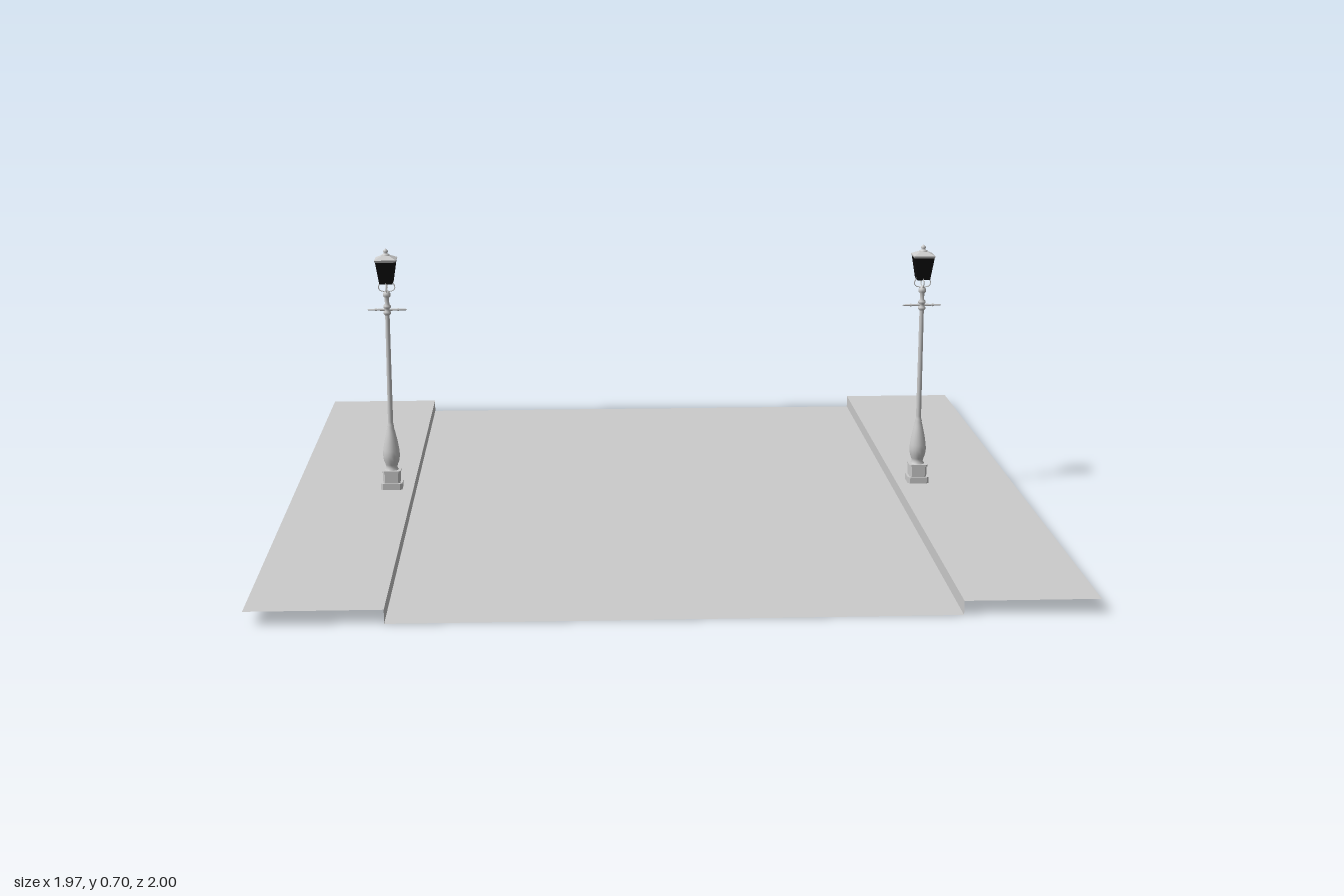
import * as THREE from 'three';

const grey = new THREE.MeshStandardMaterial({ color: 0xcccccc });
const sheet = new THREE.MeshStandardMaterial({ color: 0xcccccc, side: THREE.DoubleSide });
const dark = new THREE.MeshStandardMaterial({ color: 0x0c0c0c });

const HALF_WIDTH = 0.983, CURB_X = 0.664, CURB_H = 0.034, LAMP_X = 0.722;

function add(parent, name, geometry, material = grey, x = 0, y = 0, z = 0) {
  const mesh = new THREE.Mesh(geometry, material);
  mesh.name = name;
  mesh.position.set(x, y, z);
  parent.add(mesh);
  return mesh;
}

// Round part turned from [radius, height] pairs
const turned = (pairs, sides = 16) =>
  new THREE.LatheGeometry(pairs.map(([r, y]) => new THREE.Vector2(r, y)), sides);

// Square frustum given by half widths at bottom and top, standing on its base
function frustum(bottom, top, height) {
  const g = new THREE.CylinderGeometry(top * Math.SQRT2, bottom * Math.SQRT2, height, 4)
    .rotateY(Math.PI / 4).translate(0, height / 2, 0).toNonIndexed();
  g.computeVertexNormals();
  return g;
}

// Square slab with cut corners
function slab(half, cut, height) {
  const s = new THREE.Shape();
  const h = half, c = half - cut;
  [[c, -h], [h, -c], [h, c], [c, h], [-c, h], [-h, c], [-h, -c], [-c, -h]]
    .forEach(([x, y], i) => (i ? s.lineTo(x, y) : s.moveTo(x, y)));
  return new THREE.ExtrudeGeometry(s, { depth: height, bevelEnabled: false }).rotateX(-Math.PI / 2);
}

function createLamp() {
  const lamp = new THREE.Group();
  lamp.name = 'streetLamp';

  // Stepped foot
  add(lamp, 'footSlab', slab(0.029, 0.006, 0.017), grey, 0, CURB_H + 0.001);
  add(lamp, 'plinth', slab(0.023, 0.005, 0.03), grey, 0, 0.052);
  add(lamp, 'plinthCap', slab(0.025, 0.005, 0.005), grey, 0, 0.081);

  // Swelling lower column and slim pole
  add(lamp, 'column', turned([
    [0.019, 0.086], [0.015, 0.093], [0.017, 0.101], [0.021, 0.112], [0.023, 0.126], [0.022, 0.14],
    [0.018, 0.165], [0.012, 0.192], [0.009, 0.203], [0.0095, 0.207], [0.0075, 0.212],
    [0.007, 0.22], [0.006, 0.518],
  ]));
  add(lamp, 'collar', turned([
    [0.006, 0.515], [0.01, 0.519], [0.01, 0.524], [0.007, 0.527], [0.007, 0.533],
    [0.01, 0.536], [0.01, 0.541], [0.006, 0.545], [0.006, 0.562],
    [0.01, 0.567], [0.01, 0.574], [0.006, 0.579], [0.004, 0.583], [0, 0.584],
  ]));

  // Ladder bar with pointed ends
  const bar = turned([
    [0, -0.053], [0.0022, -0.05], [0.0022, -0.034], [0.0045, -0.03], [0.0025, -0.026], [0.0035, -0.01],
    [0.0035, 0.01], [0.0025, 0.026], [0.0045, 0.03], [0.0022, 0.034], [0.0022, 0.05], [0, 0.053],
  ], 8).rotateZ(Math.PI / 2);
  add(lamp, 'ladderBar', bar, grey, 0, 0.53);

  // Four curved arms cradling the lantern
  const arm = new THREE.CatmullRomCurve3([
    new THREE.Vector3(0.004, 0.579, 0), new THREE.Vector3(0.018, 0.583, 0),
    new THREE.Vector3(0.022, 0.592, 0), new THREE.Vector3(0.016, 0.605, 0),
  ]);
  for (let i = 0; i < 4; i++) {
    const m = add(lamp, 'cradleArm', new THREE.TubeGeometry(arm, 10, 0.0014, 6));
    m.rotation.y = i * Math.PI / 2;
  }

  // Lantern: tapered dark body, corner bars, rims, roof and finial
  const lantern = new THREE.Group();
  lantern.name = 'lantern';
  lamp.add(lantern);
  const y0 = 0.603, y1 = 0.663, r0 = 0.0165, r1 = 0.0255;
  add(lantern, 'lanternBody', frustum(r0, r1, y1 - y0), dark, 0, y0);
  for (const sx of [-1, 1]) for (const sz of [-1, 1]) {
    const edge = new THREE.LineCurve3(
      new THREE.Vector3(sx * r0, y0, sz * r0), new THREE.Vector3(sx * r1, y1, sz * r1));
    add(lantern, 'cornerBar', new THREE.TubeGeometry(edge, 1, 0.0015, 6), dark);
  }
  add(lantern, 'lowerRim', frustum(0.0165, 0.018, 0.004), dark, 0, 0.601);
  add(lantern, 'upperRim', frustum(0.027, 0.029, 0.006), grey, 0, 0.662);
  add(lantern, 'roof', frustum(0.029, 0.011, 0.009), grey, 0, 0.668);
  add(lantern, 'finial', turned([
    [0.011, 0.675], [0.011, 0.68], [0.006, 0.682], [0.005, 0.685],
    [0.007, 0.688], [0.005, 0.692], [0.002, 0.695], [0, 0.697],
  ], 12));
  return lamp;
}

export function createModel() {
  const model = new THREE.Group();
  model.name = 'streetSection';

  // Road sheet
  add(model, 'road', new THREE.PlaneGeometry(2 * CURB_X, 2).rotateX(-Math.PI / 2), sheet);

  // Raised pavement, curb face and lamp on each side
  const w = HALF_WIDTH - CURB_X;
  for (const side of [-1, 1]) {
    add(model, 'pavement', new THREE.PlaneGeometry(w, 2).rotateX(-Math.PI / 2), sheet,
      side * (CURB_X + w / 2), CURB_H);
    add(model, 'curb', new THREE.PlaneGeometry(2, CURB_H).rotateY(-side * Math.PI / 2), sheet,
      side * CURB_X, CURB_H / 2);
    const lamp = createLamp();
    lamp.position.x = side * LAMP_X;
    model.add(lamp);
  }
  return model;
}
